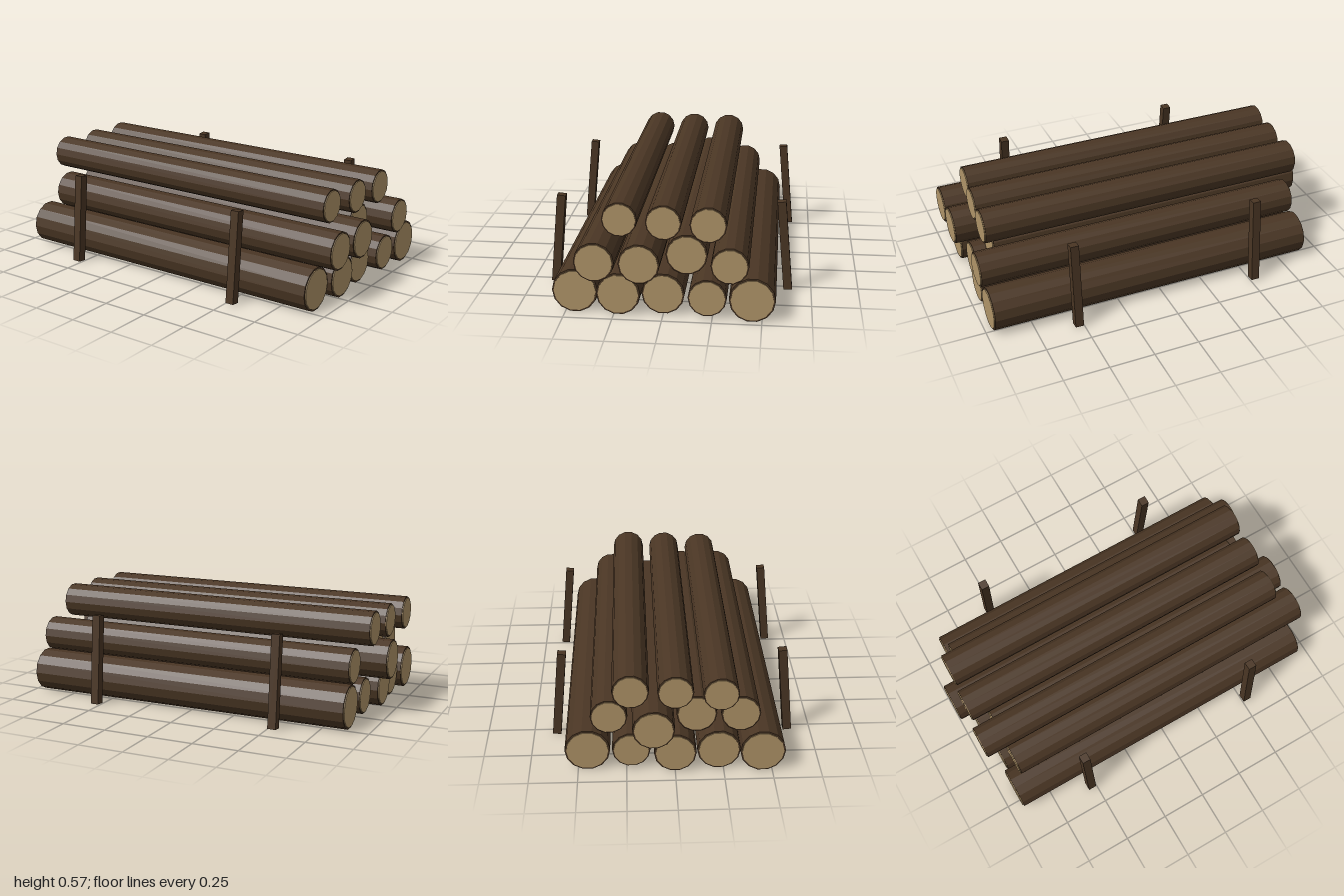
import * as THREE from 'three';

const SIDES = 14;
const LENGTH = 1.84;

// Each log: [x, y, radius, z of its middle]
const LOGS = [
  // bottom row
  [-0.45, 0.119, 0.117, 0.0],
  [-0.225, 0.119, 0.112, 0.023],
  [0.0, 0.119, 0.109, 0.0],
  [0.225, 0.119, 0.098, 0.035],
  [0.45, 0.119, 0.117, 0.04],
  // middle row
  [-0.338, 0.304, 0.102, 0.07],
  [-0.112, 0.304, 0.104, 0.075],
  [0.112, 0.304, 0.107, -0.075],
  [0.337, 0.304, 0.095, 0.06],
  // top row
  [-0.225, 0.489, 0.09, -0.05],
  [0.0, 0.489, 0.091, -0.025],
  [0.225, 0.489, 0.093, -0.01],
];

export function createModel() {
  const bark = new THREE.MeshStandardMaterial({ name: 'bark', color: 0x4a3624, flatShading: true });
  const cutWood = new THREE.MeshStandardMaterial({ name: 'cutWood', color: 0xb09468 });

  const model = new THREE.Group();
  model.name = 'logPile';

  // Cylinder lying along z, with a flat facet on top
  const rod = (radius, length) =>
    new THREE.CylinderGeometry(radius, radius, length, SIDES)
      .rotateX(Math.PI / 2)
      .rotateZ(Math.PI / SIDES);

  LOGS.forEach(([x, y, radius, z], i) => {
    const log = new THREE.Group();
    log.name = `log${i + 1}`;
    log.position.set(x, y, z);

    const trunk = new THREE.Mesh(rod(radius, LENGTH), bark);
    trunk.name = 'trunk';
    log.add(trunk);

    // Pale cut faces inside a rim of bark
    for (const end of [-1, 1]) {
      const face = new THREE.Mesh(rod(radius * 0.92, 0.006), cutWood);
      face.name = end > 0 ? 'frontCut' : 'backCut';
      face.position.z = end * (LENGTH / 2 + 0.002);
      log.add(face);
    }
    model.add(log);
  });

  // Four stakes leaning inwards
  const stakeShape = new THREE.BoxGeometry(0.046, 0.492, 0.046);
  for (const side of [-1, 1]) {
    for (const end of [-1, 1]) {
      const stake = new THREE.Mesh(stakeShape, bark);
      stake.name = `${end > 0 ? 'front' : 'back'}${side > 0 ? 'Left' : 'Right'}Stake`;
      stake.position.set(side * 0.604, 0.253, end * 0.527);
      stake.rotation.z = side * 0.092;
      model.add(stake);
    }
  }

  return model;
}
